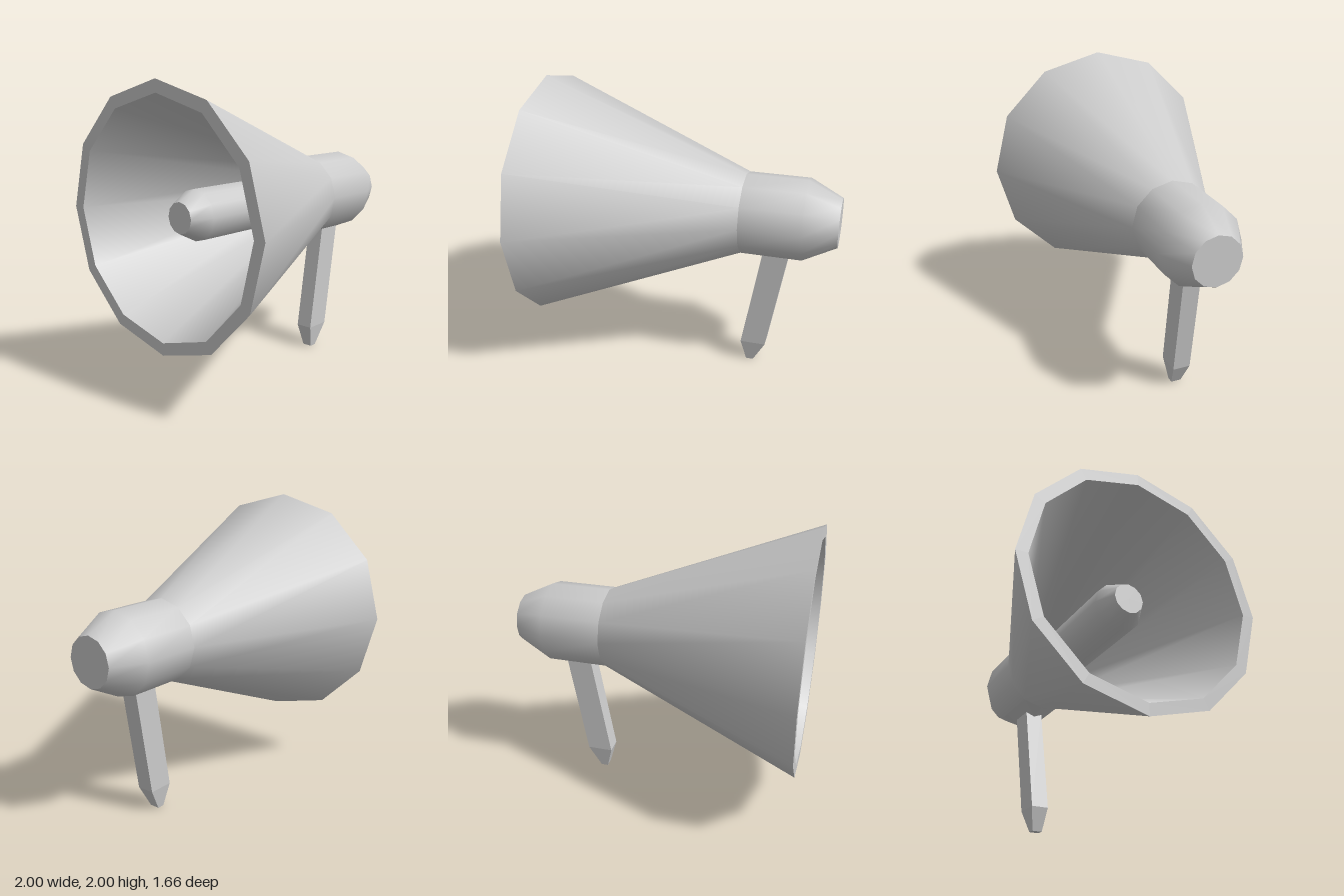
import * as THREE from 'three';

const AXIS_Y = 1.165; // height of the horn's axis
const SIDES = 12;

const smooth = new THREE.MeshStandardMaterial({ color: 0xcccccc });
const flat = new THREE.MeshStandardMaterial({ color: 0xcccccc, flatShading: true });

// Twelve-sided turned part along x; profile points are [x, radius].
function turned(name, profile, material = smooth) {
  const points = profile.map(([x, r]) => new THREE.Vector2(r, x));
  const geometry = new THREE.LatheGeometry(points, SIDES);
  geometry.rotateZ(-Math.PI / 2).translate(0, AXIS_Y, 0);
  const mesh = new THREE.Mesh(geometry, material);
  mesh.name = name;
  return mesh;
}

// Shallow ridge under the body where the handle joins.
function handleMount() {
  const sections = [[0.37, 0.89], [0.5, 0.868], [0.68, 0.868], [0.78, 0.89]];
  const sideY = AXIS_Y - 0.275 * Math.cos(Math.PI / 6);
  const positions = [];
  const index = [];
  sections.forEach(([x, y], i) => {
    positions.push(x, sideY, 0.1375, x, y, 0, x, sideY, -0.1375);
    if (i === 0) return;
    for (let k = 0; k < 2; k++) {
      const a = (i - 1) * 3 + k, b = a + 1, c = a + 3, d = a + 4;
      index.push(a, b, c, b, d, c);
    }
  });
  const geometry = new THREE.BufferGeometry();
  geometry.setAttribute('position', new THREE.Float32BufferAttribute(positions, 3));
  geometry.setIndex(index);
  const creased = geometry.toNonIndexed();
  creased.computeVertexNormals();
  const mesh = new THREE.Mesh(creased, flat);
  mesh.name = 'handleMount';
  return mesh;
}

// Slanted rectangular handle: a box whose three levels are moved and scaled.
function handle() {
  const levels = [ // bottom, shoulder, top
    { y: 0, x: 0.445, w: 0.025, d: 0.035 },
    { y: 0.16, x: 0.467, w: 0.0875, d: 0.06 },
    { y: 0.91, x: 0.598, w: 0.0875, d: 0.06 },
  ];
  const geometry = new THREE.BoxGeometry(2, 2, 2, 1, 2, 1);
  const p = geometry.attributes.position;
  for (let i = 0; i < p.count; i++) {
    const l = levels[Math.round(p.getY(i)) + 1];
    p.setXYZ(i, l.x + p.getX(i) * l.w, l.y, p.getZ(i) * l.d);
  }
  geometry.computeVertexNormals();
  const mesh = new THREE.Mesh(geometry, flat);
  mesh.name = 'handle';
  return mesh;
}

export function createModel() {
  const model = new THREE.Group();
  model.name = 'megaphone';

  // Flared horn: outer wall, rim, inner wall and the wall closing its throat
  const horn = new THREE.Group();
  horn.name = 'horn';
  horn.add(
    turned('hornOuterWall', [[-1, 0.83], [0.37, 0.275]]),
    turned('hornRim', [[-1, 0.75], [-1, 0.83]]),
    turned('hornInnerWall', [[0.36, 0.225], [-1, 0.75]]),
    turned('hornThroat', [[0.36, 0], [0.36, 0.225]]),
  );

  // Rear body with a tapered end
  const body = new THREE.Group();
  body.name = 'body';
  body.add(
    turned('bodyShell', [[0.37, 0.275], [0.78, 0.275], [1, 0.165]]),
    turned('bodyEndCap', [[1, 0.165], [1, 0]]),
    handleMount(),
  );

  // Plug standing in the middle of the horn
  const plug = new THREE.Group();
  plug.name = 'innerPlug';
  plug.add(
    turned('plugShell', [[-0.84, 0.1], [-0.71, 0.165], [0.36, 0.165]]),
    turned('plugEndCap', [[-0.84, 0], [-0.84, 0.1]]),
  );

  model.add(horn, body, plug, handle());
  return model;
}
